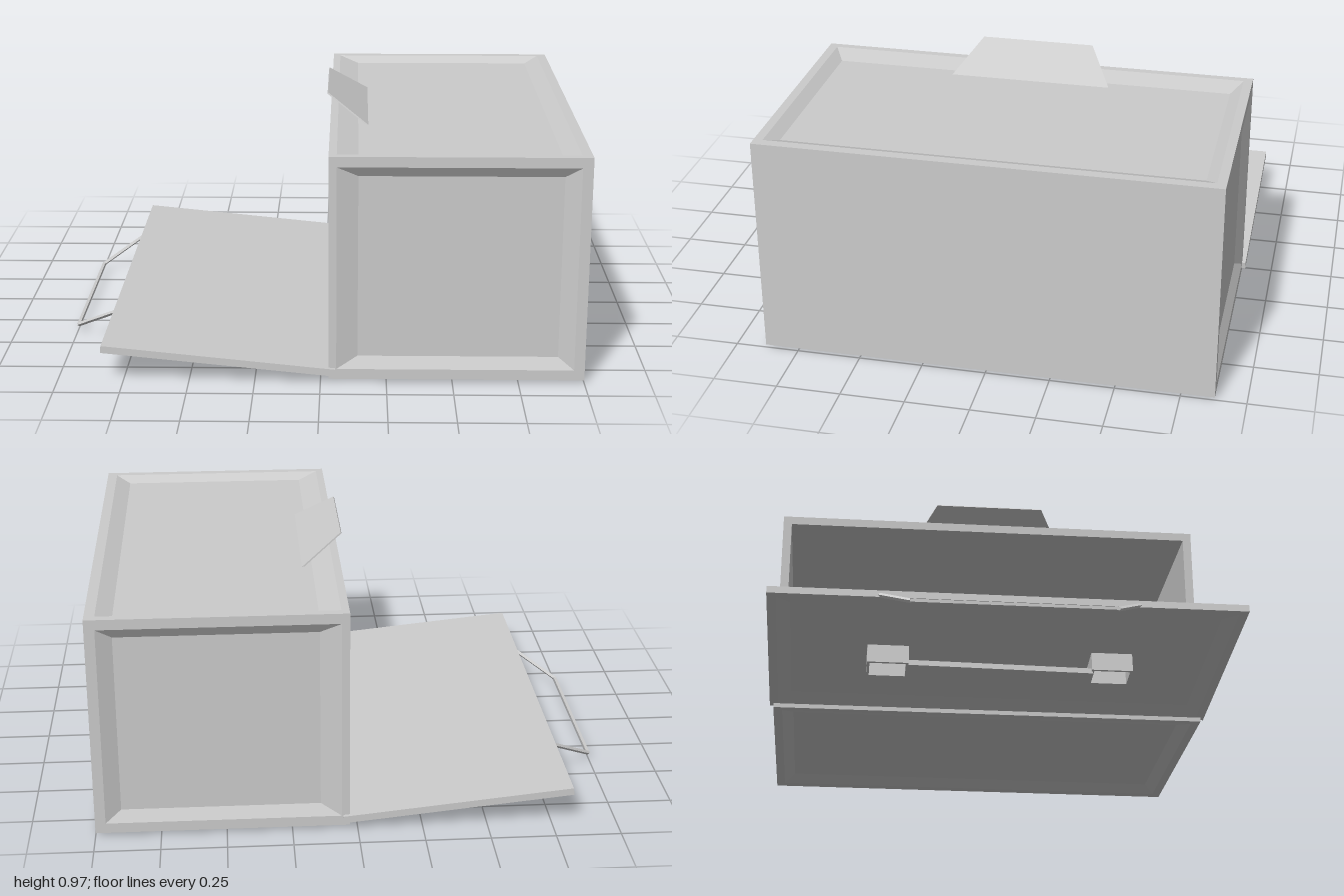
import * as THREE from 'three';

const material = new THREE.MeshStandardMaterial({ color: 0xcccccc, flatShading: true, side: THREE.DoubleSide });

function add(parent, name, geometry) {
  const mesh = new THREE.Mesh(geometry, material);
  mesh.name = name;
  parent.add(mesh);
  return mesh;
}

// box given by its limits
function block(parent, name, x0, x1, y0, y1, z0, z1) {
  const mesh = add(parent, name, new THREE.BoxGeometry(x1 - x0, y1 - y0, z1 - z0));
  mesh.position.set((x0 + x1) / 2, (y0 + y1) / 2, (z0 + z1) / 2);
  return mesh;
}

// square rod between two points
function rod(parent, name, a, b, t) {
  const dir = b.clone().sub(a);
  const mesh = add(parent, name, new THREE.BoxGeometry(t, t, dir.length() + t * 0.5));
  mesh.position.copy(a).add(b).multiplyScalar(0.5);
  mesh.quaternion.setFromUnitVectors(new THREE.Vector3(0, 0, 1), dir.normalize());
  return mesh;
}

// Slab with a bevelled recess in its outer face. Rectangles are [u0, u1, v0, v1];
// u, v and n are the world directions of the face and its outward normal.
function recessedPanel(outer, edge, floor, thick, depth, u, v, n, offset) {
  const ring = ([u0, u1, v0, v1], d) =>
    [[u0, v0], [u1, v0], [u1, v1], [u0, v1]].map(([a, b]) => [a, b, -d]);
  const rings = [ring(outer, thick), ring(outer, 0), ring(edge, 0), ring(floor, depth)];
  const pos = [];
  const quad = (a, b, c, d) => pos.push(...a, ...b, ...c, ...a, ...c, ...d);
  for (let r = 0; r < 3; r++) {
    for (let i = 0; i < 4; i++) {
      const j = (i + 1) % 4;
      quad(rings[r][i], rings[r][j], rings[r + 1][j], rings[r + 1][i]);
    }
  }
  quad(...rings[3]);
  quad(...[...rings[0]].reverse());
  const m = new THREE.Matrix4().makeBasis(u, v, n);
  if (m.determinant() < 0) {
    for (let i = 0; i < pos.length; i += 9) {
      for (let k = 0; k < 3; k++) [pos[i + 3 + k], pos[i + 6 + k]] = [pos[i + 6 + k], pos[i + 3 + k]];
    }
  }
  m.setPosition(n.clone().multiplyScalar(offset));
  const g = new THREE.BufferGeometry();
  g.setAttribute('position', new THREE.Float32BufferAttribute(pos, 3));
  g.applyMatrix4(m);
  g.computeVertexNormals();
  return g;
}

export function createModel() {
  const model = new THREE.Group();
  const V = (x, y, z) => new THREE.Vector3(x, y, z);
  const X = V(1, 0, 0), Y = V(0, 1, 0), Z = V(0, 0, 1);

  // box shell, open on one long side
  const shell = new THREE.Group();
  shell.name = 'boxShell';
  model.add(shell);
  const wide = [0.03, 1, -0.88, 0.88];
  const wideEdge = [0.06, 0.96, -0.845, 0.845];
  const wideFloor = [0.14, 0.9, -0.8, 0.8];
  add(shell, 'topPanel', recessedPanel(wide, wideEdge, wideFloor, 0.035, 0.025, X, Z, Y, 0.89));
  add(shell, 'bottomPanel', recessedPanel(wide, wideEdge, wideFloor, 0.035, 0.025, X, Z, V(0, -1, 0), -0.015));
  for (const s of [1, -1]) {
    add(shell, s > 0 ? 'frontEndPanel' : 'backEndPanel', recessedPanel(
      [0.03, 1, 0.05, 0.855], [0.06, 0.96, 0.055, 0.85], [0.14, 0.9, 0.1, 0.81],
      0.035, 0.025, X, Y, V(0, 0, s), 0.88));
  }
  block(shell, 'longWall', 0.94, 1, 0.05, 0.855, -0.845, 0.845);

  // tapered flap standing out of the top
  const [p, q] = [[0.02, 0.97], [0.18, 0.862]];
  const slope = Math.atan2(q[1] - p[1], q[0] - p[0]);
  const len = Math.hypot(q[0] - p[0], q[1] - p[1]);
  const flapShape = new THREE.Shape([[0, -0.225], [len, -0.32], [len, 0.32], [0, 0.225]]
    .map(([a, b]) => new THREE.Vector2(a, b)));
  const flapGeometry = new THREE.ExtrudeGeometry(flapShape, { depth: 0.006, bevelEnabled: false });
  flapGeometry.rotateX(Math.PI / 2).rotateZ(slope).translate(p[0], p[1] + 0.003, 0);
  add(model, 'topFlap', flapGeometry);

  // lowered door, hinged at the foot of the opening
  const door = new THREE.Group();
  door.name = 'door';
  door.position.set(0.055, 0.058, 0);
  door.rotation.z = -0.1014;
  model.add(door);
  add(door, 'doorPanel', recessedPanel(
    [-0.89, 0, -0.895, 0.895], [-0.86, -0.03, -0.86, 0.86], [-0.8, -0.1, -0.81, 0.81],
    0.028, 0.015, X, Z, V(0, -1, 0), 0.028));

  // grip under the door: two open brackets joined by a strap
  const grip = new THREE.Group();
  grip.name = 'doorGrip';
  door.add(grip);
  const x0 = -0.508, x1 = -0.39, w = 0.01;
  for (const s of [1, -1]) {
    const bracket = new THREE.Group();
    bracket.name = 'gripBracket';
    bracket.position.z = s * 0.435;
    grip.add(bracket);
    block(bracket, 'bracketSide', x0, x0 + w, -0.088, -0.012, -0.08, 0.08);
    block(bracket, 'bracketSide', x1 - w, x1, -0.088, -0.012, -0.08, 0.08);
    block(bracket, 'bracketEnd', x0 + w, x1 - w, -0.088, -0.012, -0.08, -0.07);
    block(bracket, 'bracketEnd', x0 + w, x1 - w, -0.088, -0.012, 0.07, 0.08);
  }
  const strap = block(grip, 'gripStrap', x0 + 0.015, x1 - 0.015, -0.092, -0.07, -0.36, 0.36);
  strap.rotation.x = 0.012;

  // pull loop on the door's free edge
  const loop = new THREE.Group();
  loop.name = 'pullLoop';
  model.add(loop);
  const points = [V(-0.825, 0.132, 0.485), V(-0.994, 0.034, 0.375), V(-0.994, 0.034, -0.375), V(-0.825, 0.132, -0.485)];
  for (let i = 0; i < 3; i++) rod(loop, 'loopBar', points[i], points[i + 1], 0.012);

  return model;
}
